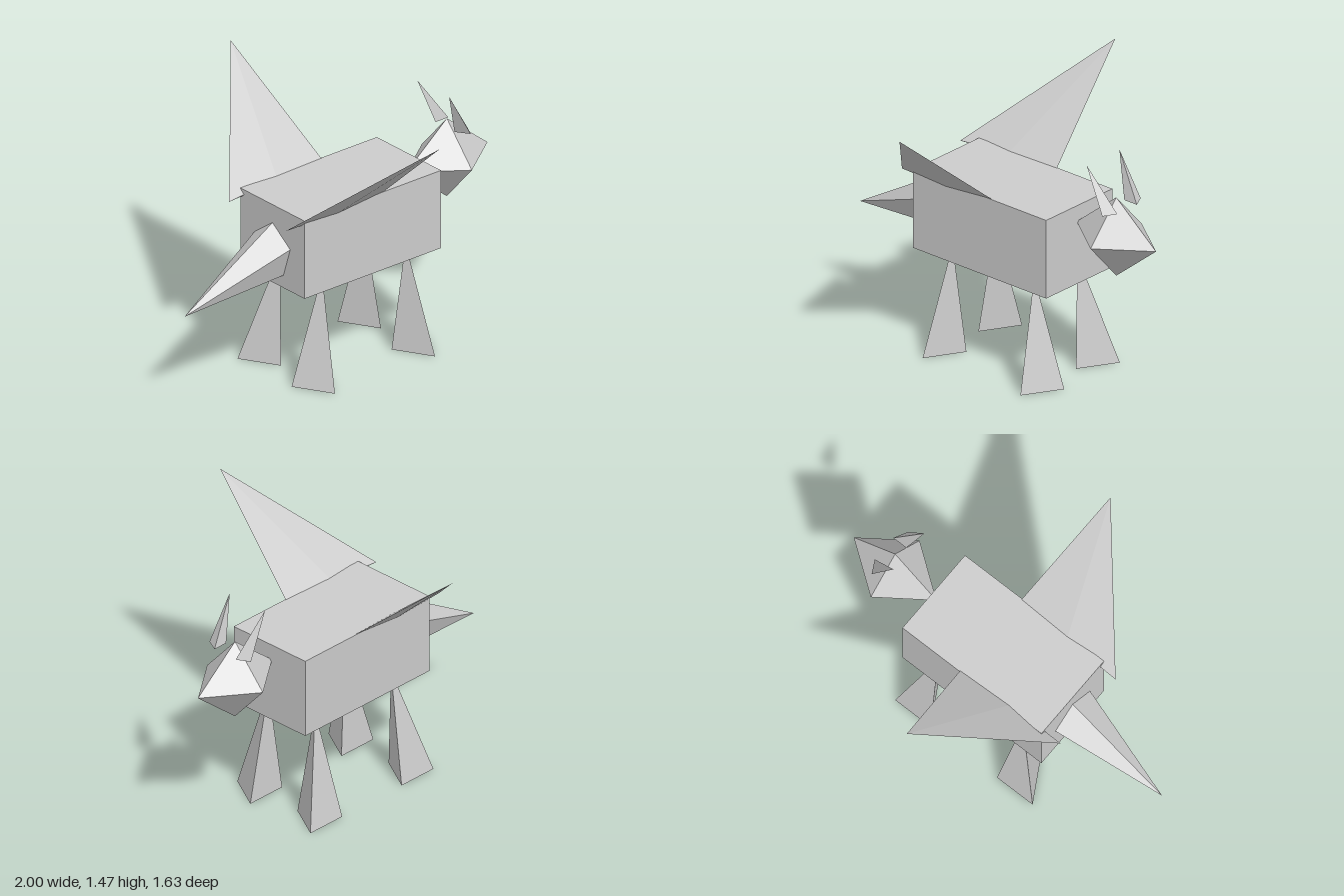
import * as THREE from 'three';
import { ConvexGeometry } from 'three/addons/geometries/ConvexGeometry.js';

export function createModel() {
  const model = new THREE.Group();
  const grey = new THREE.MeshStandardMaterial({ color: 0xcccccc, flatShading: true });
  grey.name = 'plain grey';

  const add = (name, geometry) => {
    const mesh = new THREE.Mesh(geometry, grey);
    mesh.name = name;
    model.add(mesh);
    return mesh;
  };
  // Solid spike or plate spanned by its corner points
  const spike = (name, points) =>
    add(name, new ConvexGeometry(points.map((p) => new THREE.Vector3(...p))));

  // Block body
  add('body', new THREE.BoxGeometry(0.9, 0.435, 0.5)).position.set(0.03, 0.763, 0);

  // Diamond head
  const head = add('head', new THREE.OctahedronGeometry(1));
  head.scale.set(0.268, 0.218, 0.195);
  head.position.set(0.73, 0.882, 0);

  // Five-sided tail, its base sunk into the body
  const tail = [[-1, 0.535, 0]];
  for (let i = 0; i < 5; i++) {
    const a = (i / 5) * Math.PI * 2;
    tail.push([-0.41, 0.737 + 0.148 * Math.cos(a), 0.148 * Math.sin(a)]);
  }
  spike('tail', tail);

  for (const [side, s] of [['right', -1], ['left', 1]]) {
    const sideName = s > 0 ? 'front' : 'back';
    // Thin raised wing
    spike(sideName + 'SideWing', [
      [-0.005, 1.465, 0.815 * s], [-0.52, 0.945, 0.22 * s], [0.11, 0.98, 0.245 * s],
      [-0.2, 0.948, 0.24 * s], [-0.2, 0.972, 0.225 * s],
    ]);
    // Three-sided horn leaning back
    spike(sideName + 'SideHorn', [
      [0.64, 1.295, 0.124 * s], [0.765, 1.055, 0.145 * s],
      [0.802, 1.055, 0.074 * s], [0.718, 1.055, 0.074 * s],
    ]);
  }

  // Three-sided legs, all with the same foot orientation
  for (const [end, x, lean] of [['fore', 0.375, -0.055], ['hind', -0.285, 0.055]]) {
    for (const [side, z, topZ] of [['Front', 0.193, 0.162], ['Back', -0.228, -0.163]]) {
      spike(end + 'Leg' + side + 'Side', [
        [x + lean, 0.59, topZ], [x, 0, z + 0.134],
        [x - 0.115, 0, z - 0.068], [x + 0.115, 0, z - 0.068],
      ]);
    }
  }
  return model;
}
